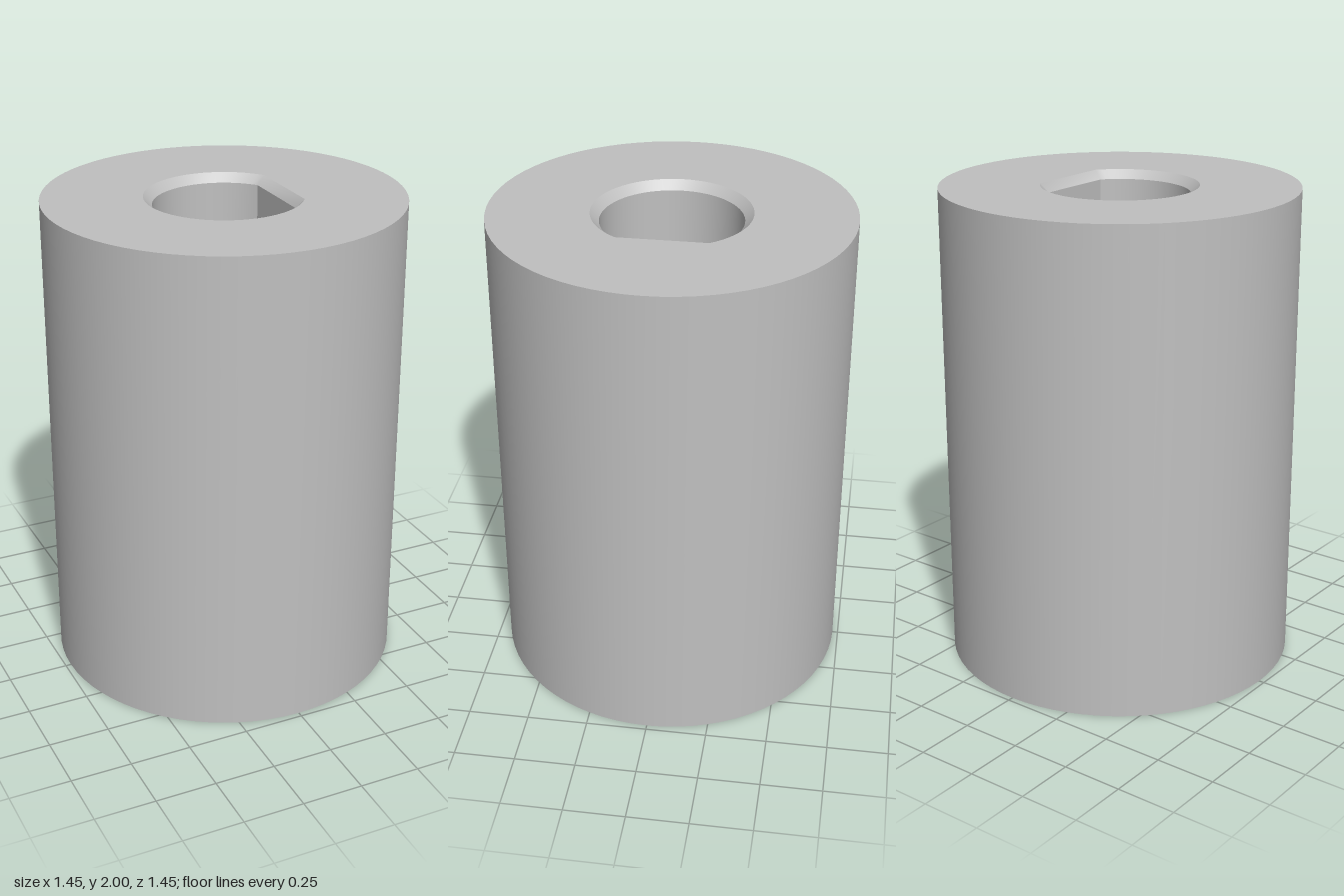
import * as THREE from 'three';
import { toCreasedNormals } from 'three/addons/utils/BufferGeometryUtils.js';

const HEIGHT = 2, RADIUS = 0.727, CHAMFER = 0.035;
const BORE_FLOOR = 1.15, SOCKET_CEILING = 0.7;

// All outlines are lists of (x, z) points, running from +x towards +z.
function circleOutline(r, n = 72) {
  return Array.from({ length: n }, (_, i) => {
    const a = (i / n) * Math.PI * 2;
    return new THREE.Vector2(r * Math.cos(a), r * Math.sin(a));
  });
}

// Round bore with one flat on the +x side, grown outward by o
function dOutline(o, n = 56) {
  const r = 0.285 + o, a0 = Math.acos((0.23 + o) / r);
  return Array.from({ length: n + 1 }, (_, i) => {
    const a = a0 + (i / n) * (Math.PI * 2 - 2 * a0);
    return new THREE.Vector2(r * Math.cos(a), r * Math.sin(a));
  });
}

// Pentagon with a round relief at every corner, grown outward by o
function socketOutline(o, n = 16) {
  const points = [], r = 0.05 + o, corner = 0.381;
  const span = Math.PI * 0.7 - Math.asin(o / r);
  for (let k = 0; k < 5; k++) {
    const t = THREE.MathUtils.degToRad(6 + 72 * k);
    for (let i = 0; i <= n; i++) {
      const a = t - span + (2 * span * i) / n;
      points.push(new THREE.Vector2(
        corner * Math.cos(t) + r * Math.cos(a),
        corner * Math.sin(t) + r * Math.sin(a)));
    }
  }
  return points;
}

// Wall between two outlines: upper to lower faces out, lower to upper faces in
function wall(from, y0, to, y1) {
  const pos = [];
  from.forEach((p, i) => {
    const j = (i + 1) % from.length;
    const a = [p.x, y0, p.y], b = [from[j].x, y0, from[j].y];
    const c = [to[j].x, y1, to[j].y], d = [to[i].x, y1, to[i].y];
    pos.push(...a, ...b, ...c, ...a, ...c, ...d);
  });
  const g = new THREE.BufferGeometry();
  g.setAttribute('position', new THREE.Float32BufferAttribute(pos, 3));
  return toCreasedNormals(g, 0.5);
}

// Flat horizontal face, optionally with a hole
function face(outline, y, up, hole) {
  const s = up ? -1 : 1;
  const flat = (pts) => pts.map((p) => new THREE.Vector2(p.x, s * p.y));
  const shape = new THREE.Shape(flat(outline));
  if (hole) shape.holes.push(new THREE.Path(flat(hole)));
  return new THREE.ShapeGeometry(shape).rotateX((s * Math.PI) / 2).translate(0, y, 0);
}

export function createModel() {
  const group = new THREE.Group();
  group.name = 'socketAdapter';
  const grey = new THREE.MeshStandardMaterial({ color: 0xc0c0c0 });
  grey.name = 'plain grey';
  const add = (name, geometry) => {
    const mesh = new THREE.Mesh(geometry, grey);
    mesh.name = name;
    group.add(mesh);
  };

  // Cylindrical body
  const rim = circleOutline(RADIUS);
  const boreMouth = dOutline(CHAMFER), bore = dOutline(0);
  const socketMouth = socketOutline(CHAMFER), socket = socketOutline(0);
  add('outerWall', wall(rim, HEIGHT, rim, 0));
  add('topFace', face(rim, HEIGHT, true, boreMouth));
  add('bottomFace', face(rim, 0, false, socketMouth));

  // Flatted shaft bore in the top
  add('boreChamfer', wall(bore, HEIGHT - CHAMFER, boreMouth, HEIGHT));
  add('boreWall', wall(bore, BORE_FLOOR, bore, HEIGHT - CHAMFER));
  add('boreFloor', face(bore, BORE_FLOOR, true));

  // Five-sided socket in the bottom
  add('socketChamfer', wall(socketMouth, 0, socket, CHAMFER));
  add('socketWall', wall(socket, CHAMFER, socket, SOCKET_CEILING));
  add('socketCeiling', face(socket, SOCKET_CEILING, false));

  return group;
}
